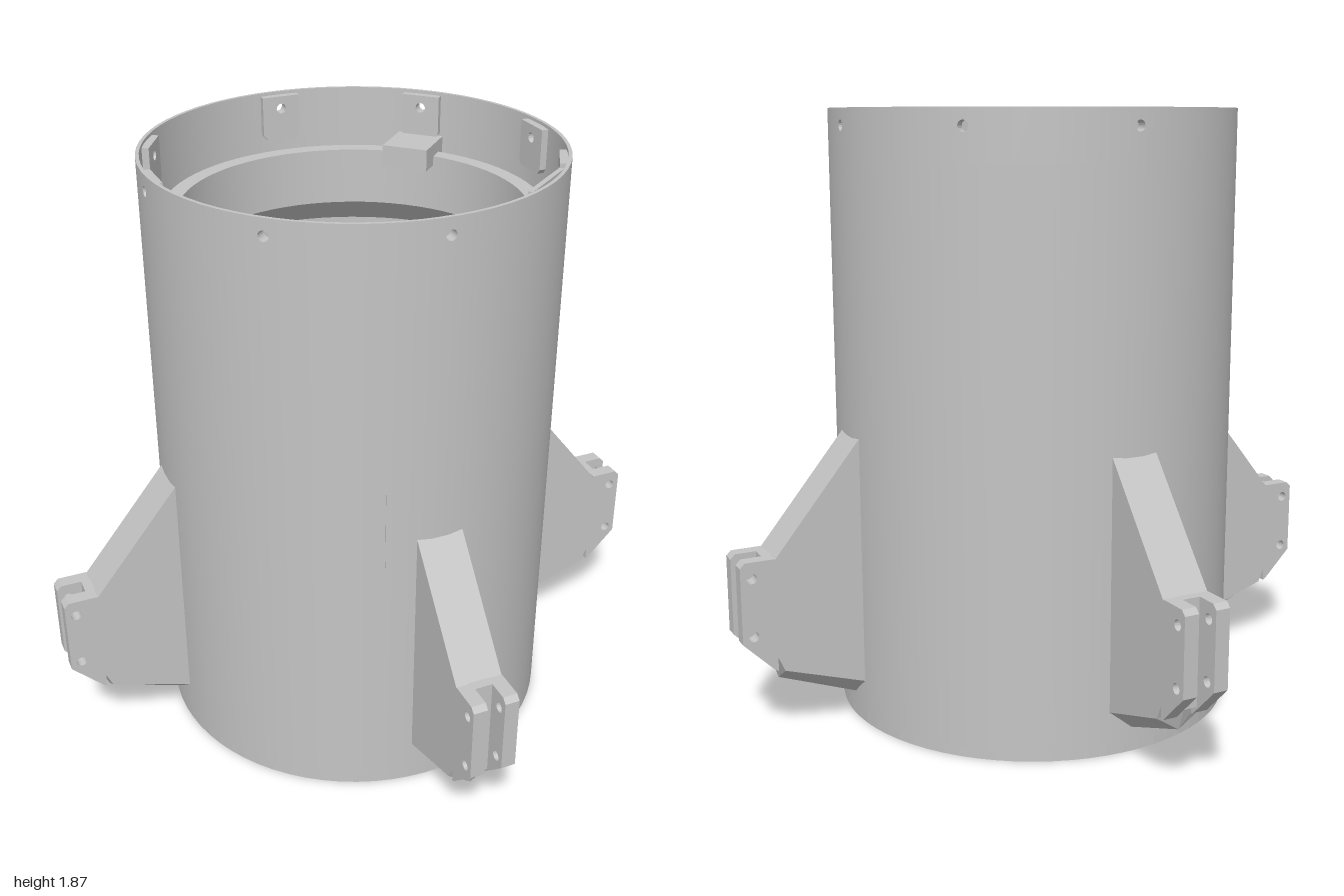
import * as THREE from 'three';
import { mergeGeometries } from 'three/addons/utils/BufferGeometryUtils.js';

const R = 0.628, INNER = 0.617, BORE = 0.408, TOP = 1.87, BAND = 1.72, DECK = 0.8;
const SIDES = 72, STEP = (Math.PI * 2) / SIDES, RAD = Math.PI / 180;
const SCREW_ANGLES = [0, 60, 90, 135, 180, 240, 270, 315];
const SCREW_Y = 1.82, SCREW_R = 0.016;

const grey = new THREE.MeshStandardMaterial({ color: 0xc4c4c4 });
grey.name = 'grey plastic';

function part(name, geometry, degrees = 0) {
  const mesh = new THREE.Mesh(geometry, grey);
  mesh.name = name;
  mesh.rotation.y = degrees * RAD;
  return mesh;
}

function polygon(points) {
  return new THREE.Shape(points.map(([x, y]) => new THREE.Vector2(x, y)));
}

function addHole(shape, x, y, r) {
  const hole = new THREE.Path();
  hole.absarc(x, y, r, 0, Math.PI * 2, true);
  shape.holes.push(hole);
}

// Lathe with a crisp edge at every profile point
function crispLathe(profile) {
  const bands = [];
  for (let i = 0; i < profile.length - 1; i++) {
    const pair = [profile[i], profile[i + 1]].map(([x, y]) => new THREE.Vector2(x, y));
    bands.push(new THREE.LatheGeometry(pair, SIDES, STEP / 2));
  }
  return mergeGeometries(bands);
}

// Rim made of curved panels, some of them pierced by a screw hole
function rimGeometry() {
  const panels = [];
  const half = (R * STEP) / 2;
  const v = new THREE.Vector3(), n = new THREE.Vector3(), up = new THREE.Vector3(0, 1, 0);
  for (let i = 0; i < SIDES; i++) {
    const shape = polygon([[-half, BAND], [half, BAND], [half, TOP], [-half, TOP]]);
    if (SCREW_ANGLES.includes(i * 5)) addHole(shape, 0, SCREW_Y, SCREW_R);
    const g = new THREE.ExtrudeGeometry(shape, { depth: R - INNER, bevelEnabled: false, curveSegments: 8 });
    const p = g.attributes.position, nor = g.attributes.normal;
    for (let k = 0; k < p.count; k++) {
      v.fromBufferAttribute(p, k);
      n.fromBufferAttribute(nor, k);
      const a = v.x / R + i * STEP, r = INNER + v.z;
      p.setXYZ(k, r * Math.sin(a), v.y, r * Math.cos(a));
      n.applyAxisAngle(up, a);
      nor.setXYZ(k, n.x, n.y, n.z);
    }
    panels.push(g);
  }
  return mergeGeometries(panels);
}

// Base ring with four screw holes on the diagonals
function baseGeometry() {
  const shape = new THREE.Shape();
  shape.absarc(0, 0, R, STEP / 2, STEP / 2 + Math.PI * 2, false);
  const bore = new THREE.Path();
  bore.absarc(0, 0, BORE, STEP / 2, STEP / 2 + Math.PI * 2, true);
  shape.holes.push(bore);
  for (let i = 0; i < 4; i++) {
    const a = (45 + i * 90) * RAD;
    addHole(shape, 0.56 * Math.cos(a), 0.56 * Math.sin(a), 0.014);
  }
  const g = new THREE.ExtrudeGeometry(shape, { depth: 0.03, bevelEnabled: false, curveSegments: 36 });
  return g.rotateX(-Math.PI / 2);
}

// Fin body lofted along z from five-sided sections with a V keel
function finGeometry() {
  const w = 0.0725;
  const sections = [ // z, top, side bottom, keel
    [0.622, 0.904, 0.134, 0.074],
    [0.875, 0.591, 0.217, 0.17],
    [0.905, 0.554, 0.285, 0.255],
  ];
  const rings = sections.map(([z, top, side, keel]) =>
    [[w, top, z], [-w, top, z], [-w, side, z], [0, keel, z], [w, side, z]]);
  const pos = [];
  const tri = (a, b, c) => pos.push(...a, ...b, ...c);
  for (let s = 0; s < rings.length - 1; s++) {
    for (let i = 0; i < 5; i++) {
      const j = (i + 1) % 5, A = rings[s], B = rings[s + 1];
      tri(A[i], B[j], B[i]);
      tri(A[i], A[j], B[j]);
    }
  }
  const end = rings[rings.length - 1], start = rings[0];
  for (let i = 1; i < 4; i++) {
    tri(end[0], end[i], end[i + 1]);
    tri(start[0], start[i + 1], start[i]);
  }
  const g = new THREE.BufferGeometry();
  g.setAttribute('position', new THREE.Float32BufferAttribute(pos, 3));
  g.computeVertexNormals();
  return g;
}

// Clevis plate, drawn as (radius, height) and turned to face sideways
function clevisPlate(x) {
  const shape = polygon([[0.895, 0.22], [0.905, 0.225], [1, 0.32], [1, 0.555],
    [0.985, 0.57], [0.895, 0.57]]);
  for (const y of [0.34, 0.52]) addHole(shape, 0.966, y, 0.016);
  const g = new THREE.ExtrudeGeometry(shape, { depth: 0.045, bevelEnabled: false, curveSegments: 8 });
  return g.rotateY(-Math.PI / 2).translate(x, 0, 0);
}

function createFin() {
  const fin = new THREE.Group();
  fin.name = 'fin';
  fin.add(part('finBody', finGeometry()));
  fin.add(part('clevisPlateLeft', clevisPlate(0.0725)));
  fin.add(part('clevisPlateRight', clevisPlate(-0.0275)));
  const web = new THREE.BoxGeometry(0.06, 0.32, 0.03).translate(0, 0.41, 0.907);
  fin.add(part('clevisWeb', web));
  return fin;
}

// Screw tab on the inside of the rim
function tabGeometry() {
  const shape = polygon([[-0.0625, 1.735], [-0.05, 1.72], [0.05, 1.72], [0.0625, 1.735],
    [0.0625, 1.86], [-0.0625, 1.86]]);
  addHole(shape, 0, SCREW_Y, SCREW_R);
  return new THREE.ExtrudeGeometry(shape, { depth: 0.025, bevelEnabled: false, curveSegments: 8 })
    .translate(0, 0, 0.592);
}

export function createModel() {
  const model = new THREE.Group();
  model.name = 'finnedTube';

  // Tube shell: outside up, then the inside down over the lip, wall, deck and bore
  model.add(part('base', baseGeometry()));
  model.add(part('shell', crispLathe([
    [BORE, 0.03], [R, 0.03], [R, BAND],
  ])));
  model.add(part('interior', crispLathe([
    [INNER, BAND], [INNER, 1.645], [0.57, 1.69], [0.52, 1.69], [0.52, 1.51],
    [INNER, 1.42], [INNER, DECK], [BORE, DECK], [BORE, 0.03],
  ])));
  model.add(part('rim', rimGeometry()));

  for (const deg of SCREW_ANGLES) model.add(part('screwTab', tabGeometry(), deg));

  // Four fins and the keys around the bore
  for (let i = 0; i < 4; i++) {
    const fin = createFin();
    fin.rotation.y = i * Math.PI / 2;
    model.add(fin);
    const key = new THREE.BoxGeometry(0.09, 0.06, 0.05).translate(0, DECK + 0.03, 0.437);
    model.add(part('boreKey', key, i * 90));
  }

  // Brackets on the lip, reaching in over the opening
  for (const deg of [135, 315]) {
    const bracket = new THREE.BoxGeometry(0.15, 0.07, 0.16).translate(0, 1.695, 0.525);
    model.add(part('lipBracket', bracket, deg));
  }

  // Flat panel on the inner wall, and a hairline rib on the front of the tube
  const panel = new THREE.BoxGeometry(0.22, TOP - DECK, 0.015).translate(0, (TOP + DECK) / 2, 0.6);
  model.add(part('innerPanel', panel, 37));
  const rib = new THREE.BoxGeometry(0.004, 0.25, 0.01).translate(0, 0.945, 0.626);
  model.add(part('wallRib', rib, -15));
  return model;
}
